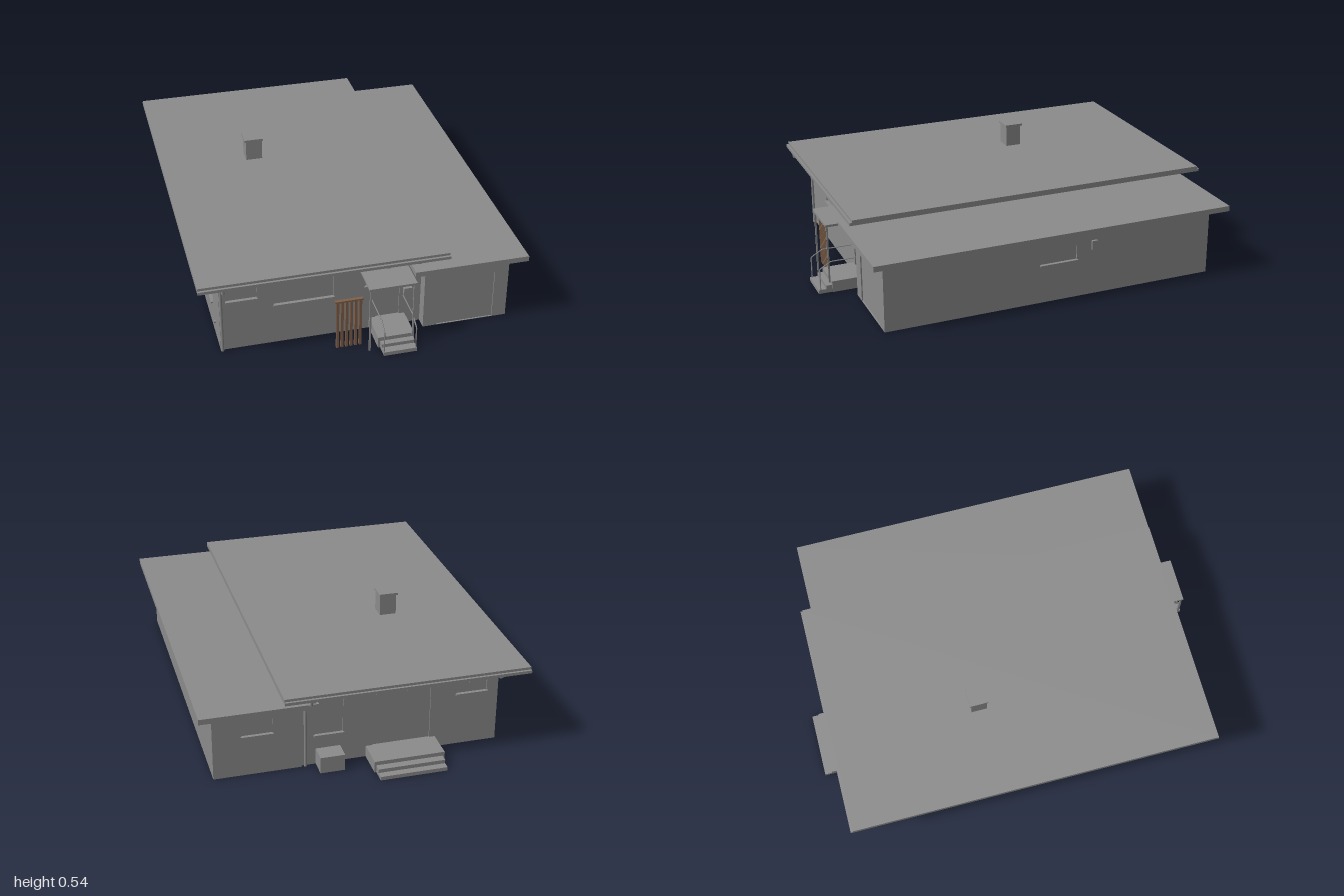
import * as THREE from 'three';

const plaster = new THREE.MeshStandardMaterial({ color: 0x8c8c8c });
plaster.name = 'grey';
const wood = new THREE.MeshStandardMaterial({ color: 0x80604a });
wood.name = 'brown wood';

export function createModel() {
  const model = new THREE.Group();
  model.name = 'bungalow';

  const add = (name, geometry, material = plaster, parent = model) => {
    const mesh = new THREE.Mesh(geometry, material);
    mesh.name = name;
    parent.add(mesh);
    return mesh;
  };
  // Box given by its limits on each axis
  const box = (name, x0, x1, y0, y1, z0, z1, material, parent) => {
    const mesh = add(name, new THREE.BoxGeometry(x1 - x0, y1 - y0, z1 - z0), material, parent);
    mesh.position.set((x0 + x1) / 2, (y0 + y1) / 2, (z0 + z1) / 2);
    return mesh;
  };
  // Thin pipe made of straight pieces
  const pipe = (name, points, radius) => {
    const path = new THREE.CurvePath();
    const v = points.map((p) => new THREE.Vector3(...p));
    for (let i = 1; i < v.length; i++) path.add(new THREE.LineCurve3(v[i - 1], v[i]));
    add(name, new THREE.TubeGeometry(path, 40, radius, 6));
  };

  // Wall with recessed openings: [from, to, bottom, top, hasSill], along the wall's world axis
  const T = 0.012;
  const facings = {
    front: { turn: 0, sign: 1 },
    back: { turn: Math.PI, sign: -1 },
    right: { turn: Math.PI / 2, sign: -1 },
    left: { turn: -Math.PI / 2, sign: 1 },
  };
  const rect = (Type, a, b, y0, y1) => {
    const r = new Type();
    r.moveTo(a, y0); r.lineTo(b, y0); r.lineTo(b, y1); r.lineTo(a, y1); r.closePath();
    return r;
  };
  const wall = (name, facing, plane, from, to, height, openings) => {
    const { turn, sign } = facings[facing];
    const span = (a, b) => [Math.min(a * sign, b * sign), Math.max(a * sign, b * sign)];
    const group = new THREE.Group();
    group.name = name;
    group.rotation.y = turn;
    if (facing === 'front' || facing === 'back') group.position.z = plane;
    else group.position.x = plane;
    const shape = rect(THREE.Shape, ...span(from, to), 0, height);
    for (const [a, b, y0, y1, sill] of openings) {
      const [u0, u1] = span(a, b);
      shape.holes.push(rect(THREE.Path, u0, u1, y0, y1));
      box(sill ? 'windowPane' : 'doorPanel', u0, u1, y0, y1, -0.011, -0.006, plaster, group);
      if (sill) box('windowSill', u0 - 0.004, u1 + 0.004, y0 - 0.006, y0 + 0.002, -0.008, 0.01, plaster, group);
    }
    const geometry = new THREE.ExtrudeGeometry(shape, { depth: T, bevelEnabled: false });
    geometry.translate(0, 0, -T);
    add(name + 'Surface', geometry, plaster, group);
    model.add(group);
  };

  // Main house walls
  wall('mainFrontWall', 'front', 0.78, -0.655, 0.285, 0.4, [
    [-0.623, -0.483, 0.262, 0.318, true],
    [-0.404, -0.13, 0.209, 0.33, true],
    [0.02, 0.045, 0.237, 0.278, true],
    [0.07, 0.183, 0.055, 0.298, false],
  ]);
  wall('mainBackWall', 'back', -0.79, -0.655, 0.285, 0.4, [
    [-0.6, -0.453, 0.265, 0.32, true],
    [-0.328, -0.055, 0.055, 0.33, false],
    [0.087, 0.22, 0.15, 0.325, true],
  ]);
  wall('mainLeftSideWall', 'left', -0.655, -0.79, 0.78, 0.4, [
    [-0.58, -0.4, 0.15, 0.325, true],
    [-0.15, 0.14, 0.265, 0.32, true],
    [0.42, 0.61, 0.15, 0.325, true],
  ]);
  box('upperSideWall', 0.273, 0.285, 0.335, 0.4, -0.79, 0.78);

  // Garage wing walls
  wall('garageFrontWall', 'front', 0.836, 0.285, 0.69, 0.34, [[0.352, 0.623, 0.002, 0.253, false]]);
  wall('garageBackWall', 'back', -0.8, 0.285, 0.69, 0.34, [[0.415, 0.556, 0.2, 0.275, true]]);
  wall('garageSideWall', 'right', 0.69, -0.8, 0.836, 0.34, [[-0.1, 0.083, 0.188, 0.26, true]]);
  box('garageReturnWall', 0.285, 0.297, 0, 0.34, 0.775, 0.83);

  // Roofs, gutters and rafters
  box('mainRoof', -0.76, 0.385, 0.398, 0.424, -0.907, 0.876);
  box('garageRoof', 0.22, 0.757, 0.332, 0.358, -0.868, 0.897);
  box('frontGutter', -0.76, 0.385, 0.398, 0.412, 0.874, 0.887);
  box('backGutter', -0.76, 0.385, 0.398, 0.412, -0.918, -0.905);
  for (let i = 0; i < 7; i++) {
    const x = -0.627 + i * 0.146;
    box('frontRafter', x - 0.008, x + 0.008, 0.376, 0.398, 0.77, 0.86);
    box('backRafter', x - 0.008, x + 0.008, 0.376, 0.398, -0.89, -0.78);
  }
  pipe('frontDownpipe', [[-0.648, 0.4, 0.88], [-0.648, 0.375, 0.875], [-0.648, 0.365, 0.788], [-0.648, 0, 0.788]], 0.007);
  pipe('backDownpipe', [[0.265, 0.4, -0.912], [0.265, 0.375, -0.905], [0.265, 0.365, -0.798], [0.265, 0, -0.798]], 0.007);

  // Chimney
  box('chimney', -0.339, -0.258, 0.42, 0.528, -0.228, -0.152);
  box('chimneyCap', -0.346, -0.253, 0.526, 0.537, -0.236, -0.146);

  // Porch canopy, posts, steps and handrails
  box('porchCanopy', -0.01, 0.21, 0.333, 0.344, 0.775, 0.954);
  for (const [x, y] of [[-0.002, 0], [0.2, 0.05]]) box('porchPost', x - 0.004, x + 0.004, y, 0.335, 0.941, 0.949);
  box('porchPlatform', 0.04, 0.21, 0, 0.055, 0.775, 0.935);
  box('porchUpperStep', 0.05, 0.205, 0, 0.036, 0.93, 0.963);
  box('porchLowerStep', 0.05, 0.205, 0, 0.019, 0.96, 1);
  for (const x of [0.053, 0.202]) {
    pipe('handrail', [[x, 0.015, 0.99], [x, 0.123, 0.99], [x, 0.155, 0.935], [x, 0.155, 0.782]], 0.003);
  }

  // Slatted wooden screen
  for (let i = 0; i < 6; i++) {
    const x = -0.144 + i * 0.0212;
    box('screenSlat', x, x + 0.012, 0, 0.252, 0.881, 0.893, wood);
  }
  box('screenTopRail', -0.15, -0.02, 0.25, 0.258, 0.879, 0.895, wood);

  // Back steps, narrowing below the landing
  box('backLanding', -0.355, -0.022, 0, 0.055, -0.93, -0.785);
  box('backMiddleStep', -0.345, -0.03, 0, 0.036, -0.966, -0.925);
  box('backLowerStep', -0.345, -0.03, 0, 0.018, -1, -0.96);

  // Small wall fittings
  box('airUnit', 0.1, 0.215, 0, 0.08, -0.875, -0.785);
  box('mailbox', 0.2, 0.24, 0.168, 0.205, 0.775, 0.8);
  box('meterBox', -0.674, -0.65, 0.158, 0.205, -0.68, -0.615);
  box('wallVent', 0.685, 0.702, 0.227, 0.272, -0.202, -0.174);
  box('gardenTap', -0.666, -0.65, 0.076, 0.086, 0.665, 0.677);

  return model;
}
